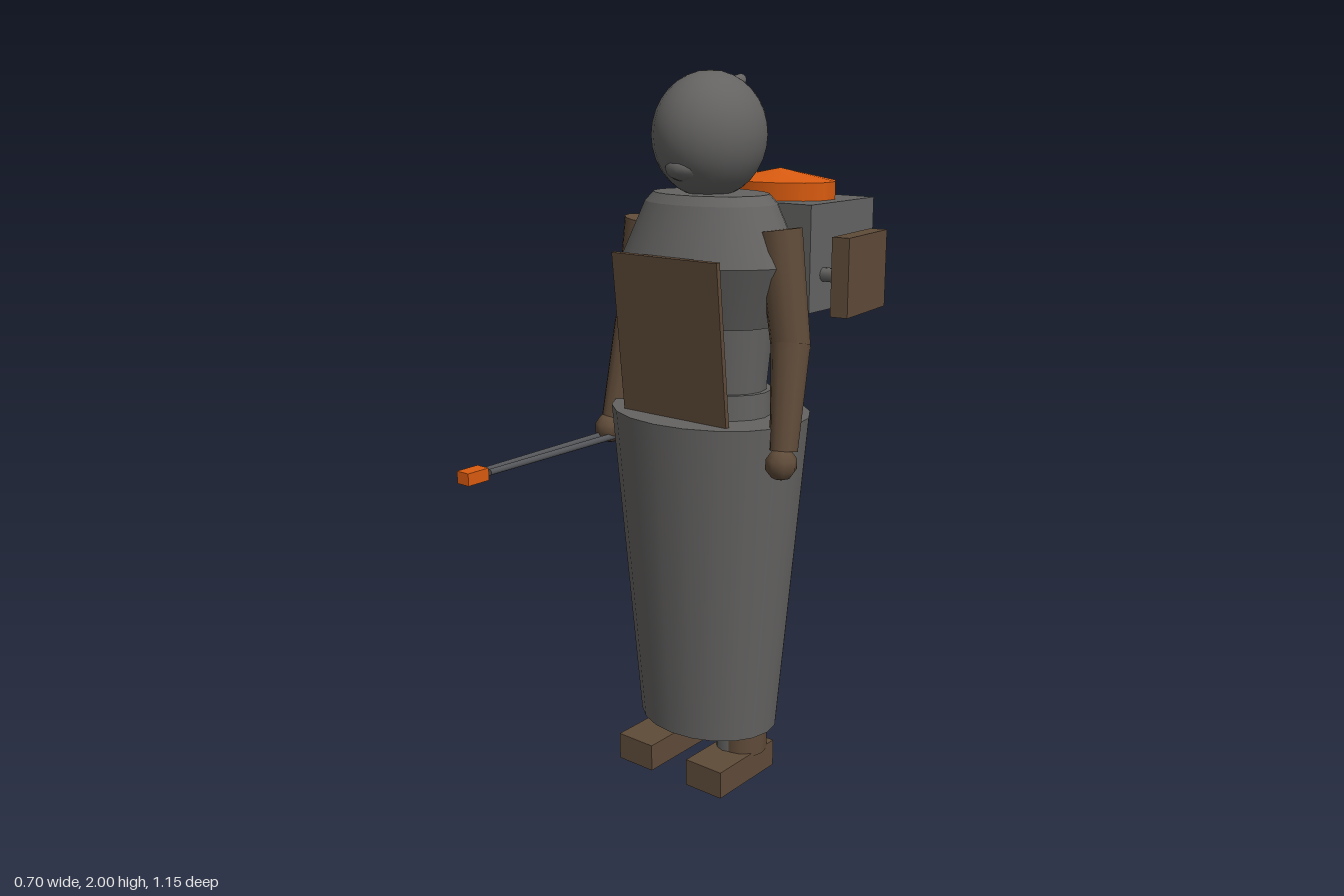
import * as THREE from 'three';

export function createModel() {
  const root = new THREE.Group();
  const mat = (name, color) => {
    const m = new THREE.MeshStandardMaterial({ color });
    m.name = name;
    return m;
  };
  const grey = mat('cloth grey', 0x646362);
  const brown = mat('leather brown', 0x5f4b39);
  const orange = mat('signal orange', 0xd95b10);
  const steel = mat('dark steel', 0x55565a);

  const add = (name, geo, material, x = 0, y = 0, z = 0) => {
    const mesh = new THREE.Mesh(geo, material);
    mesh.name = name;
    mesh.position.set(x, y, z);
    root.add(mesh);
    return mesh;
  };
  const box = (name, w, h, d, m, x, y, z) =>
    add(name, new THREE.BoxGeometry(w, h, d), m, x, y, z);
  // Elliptical frustum between two heights, rt and rb are the x radii
  const frustum = (name, rt, rb, y0, y1, squash, m, x, z, sides = 20) => {
    const mesh = add(name, new THREE.CylinderGeometry(rt, rb, y1 - y0, sides), m, x, (y0 + y1) / 2, z);
    mesh.scale.z = squash;
    return mesh;
  };
  // Tapered rod from a to b
  const rod = (name, a, b, ra, rb, m, sides = 12) => {
    const p = new THREE.Vector3(...a), q = new THREE.Vector3(...b);
    const d = q.clone().sub(p);
    const mesh = add(name, new THREE.CylinderGeometry(rb, ra, d.length(), sides), m);
    mesh.position.copy(p).add(q).multiplyScalar(0.5);
    mesh.quaternion.setFromUnitVectors(new THREE.Vector3(0, 1, 0), d.normalize());
    return mesh;
  };

  // Body
  const bodyZ = -0.088;
  frustum('skirt', 0.3, 0.215, 0.14, 1.08, 0.815, grey, 0, bodyZ);
  frustum('waistband', 0.19, 0.19, 1.07, 1.15, 0.72, grey, 0, bodyZ);
  frustum('torso', 0.195, 0.17, 1.1, 1.34, 0.72, grey, 0, bodyZ);
  frustum('chest', 0.275, 0.2, 1.33, 1.5, 0.73, grey, 0, bodyZ);
  frustum('shoulders', 0.2, 0.275, 1.5, 1.655, 0.73, grey, 0, bodyZ);
  frustum('collar', 0.175, 0.2, 1.655, 1.68, 0.73, grey, 0, bodyZ);

  // Head with a small muzzle and a knob at the back
  add('head', new THREE.SphereGeometry(1, 24, 16), grey, 0, 1.832, -0.084).scale.set(0.15, 0.168, 0.168);
  add('muzzle', new THREE.SphereGeometry(1, 14, 8), grey, 0, 1.75, 0.022).scale.set(0.055, 0.035, 0.052);
  rod('headKnob', [0, 1.94, -0.165], [0, 1.978, -0.225], 0.042, 0.014, grey, 10);

  // Apron plate leaning forward
  const apron = box('apron', 0.36, 0.45, 0.014, brown, 0, 1.3, 0.087);
  apron.rotation.x = 0.1;

  // Arms, hands, legs and shoes
  for (const s of [-1, 1]) {
    rod('upperArm', [s * 0.278, 1.28, -0.082], [s * 0.232, 1.595, -0.086], 0.053, 0.06, brown);
    rod('forearm', [s * 0.302, 1.02, -0.022], [s * 0.278, 1.3, -0.08], 0.038, 0.053, brown);
    add('hand', new THREE.SphereGeometry(0.045, 8, 5), brown, s * 0.307, 0.988, -0.005);
    frustum('boot', 0.065, 0.065, 0.07, 0.15, 1.08, brown, s * 0.135, -0.085, 12);
    frustum('leg', 0.055, 0.055, 0.075, 0.3, 1.2, grey, s * 0.113, -0.076, 12);
    box('shoe', 0.125, 0.08, 0.255, brown, s * 0.128, 0.04, -0.028);
  }

  // Backpack tank with a shallow conical lid
  const packZ = -0.413;
  box('backpack', 0.434, 0.297, 0.32, grey, 0, 1.497, packZ);
  frustum('lidRim', 0.175, 0.175, 1.64, 1.695, 0.725, orange, 0, packZ, 14);
  frustum('lidCone', 0, 0.175, 1.695, 1.728, 0.725, orange, 0, packZ, 14);

  // Side case on a short bracket
  const sideCase = box('sideCase', 0.052, 0.22, 0.25, brown, 0.275, 1.45, packZ);
  sideCase.rotation.y = 0.13;
  rod('bracket', [0.2, 1.45, -0.322], [0.28, 1.45, -0.322], 0.02, 0.02, grey, 10);

  // Twin-rod tool held in the right hand
  for (const s of [-1, 1])
    rod('toolRod', [-0.301 + s * 0.018, 0.968, 0], [-0.301 + s * 0.012, 0.968, 0.49], 0.01, 0.009, steel, 8);
  box('toolTip', 0.043, 0.034, 0.072, orange, -0.3, 0.968, 0.538);

  return root;
}
